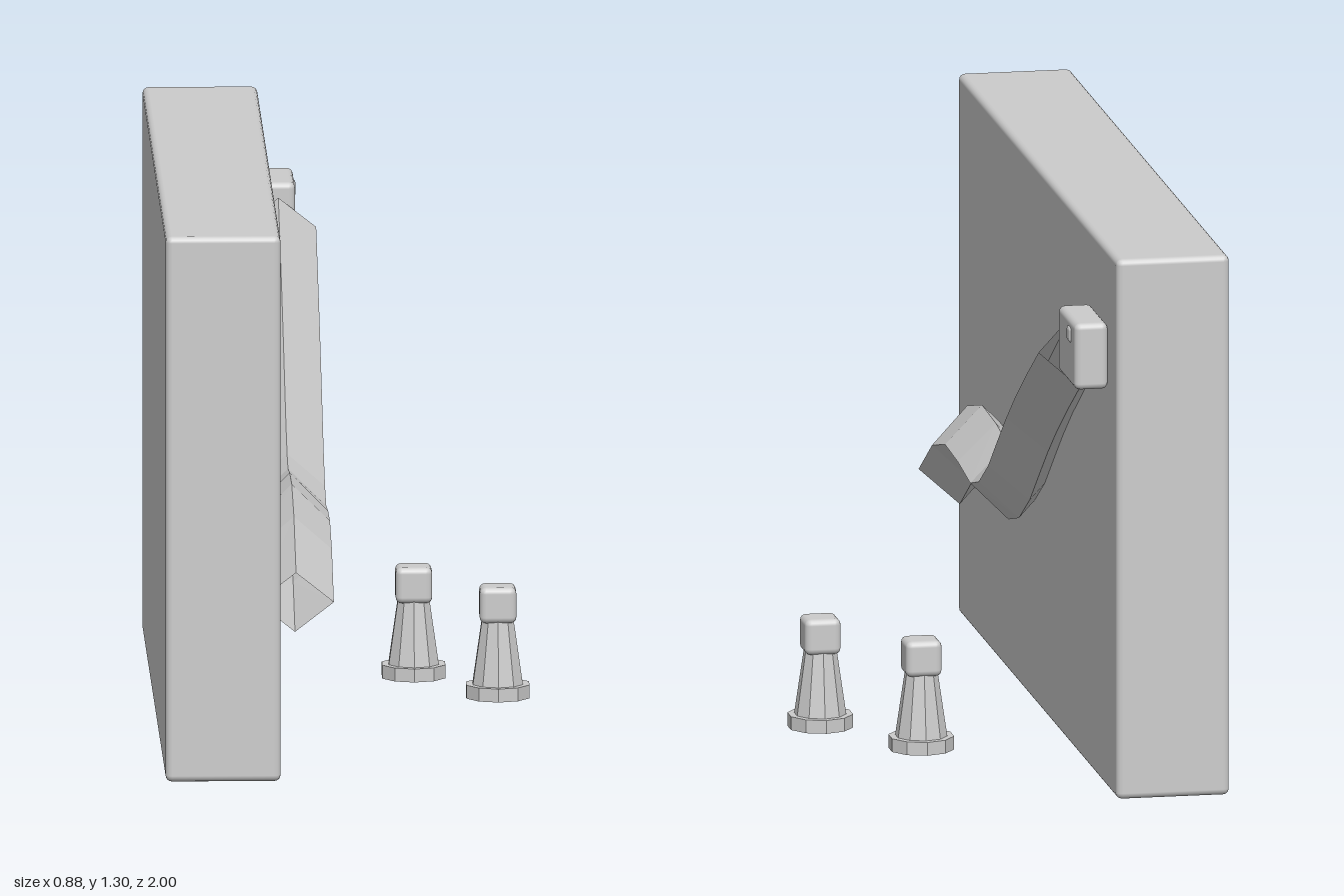
import * as THREE from 'three';
import { RoundedBoxGeometry } from 'three/addons/geometries/RoundedBoxGeometry.js';

export function createModel() {
  const model = new THREE.Group();
  const grey = new THREE.MeshStandardMaterial({ color: 0xcccccc });
  grey.name = 'light grey';
  const greyFaceted = grey.clone();
  greyFaceted.flatShading = true;
  greyFaceted.side = THREE.DoubleSide;

  function add(parent, name, geometry, x, y, z, material = grey) {
    const mesh = new THREE.Mesh(geometry, material);
    mesh.name = name;
    mesh.position.set(x, y, z);
    parent.add(mesh);
    return mesh;
  }

  // Upright slab with softened edges
  add(model, 'wall', new RoundedBoxGeometry(0.27, 1.3, 2, 2, 0.015), -0.31, 0.65, 0);

  // Open, diamond-section channel half sunk into the wall: [z, y] per ring
  const path = [
    [0.81, 0.394], [0.64, 0.49], [0.478, 0.528], [0.317, 0.523], [0.16, 0.507], [0.055, 0.534],
    [-0.065, 0.6], [-0.18, 0.685], [-0.29, 0.765], [-0.41, 0.845], [-0.55, 0.93], [-0.70, 1.016],
  ];
  const curve = new THREE.CatmullRomCurve3(path.map(([z, y]) => new THREE.Vector3(0, y, z)));
  // Put one ring exactly at each path point
  curve.getPointAt = curve.getPoint;
  curve.getTangentAt = curve.getTangent;
  add(model, 'channel', new THREE.TubeGeometry(curve, path.length - 1, 0.09, 4, false), -0.135, 0, 0, greyFaceted);

  // Small box at the upper end with a button
  const box = new THREE.Group();
  box.name = 'controlBox';
  model.add(box);
  add(box, 'boxBody', new RoundedBoxGeometry(0.08, 0.16, 0.215, 2, 0.015), -0.135, 1.045, -0.787);
  add(box, 'button', new RoundedBoxGeometry(0.03, 0.04, 0.04, 2, 0.01), -0.105, 1.087, -0.825);

  // Two free-standing pieces: foot, tapered body, cube head
  for (const [x, z] of [[0.175, -0.382], [0.365, -0.112]]) {
    const piece = new THREE.Group();
    piece.name = 'piece';
    piece.position.set(x, 0, z);
    model.add(piece);
    add(piece, 'foot', new THREE.CylinderGeometry(0.078, 0.078, 0.032, 10), 0, 0.016, 0, greyFaceted);
    add(piece, 'body', new THREE.CylinderGeometry(0.039, 0.062, 0.155, 10), 0, 0.1075, 0, greyFaceted);
    add(piece, 'head', new RoundedBoxGeometry(0.086, 0.086, 0.086, 2, 0.015), 0, 0.223, 0);
  }
  return model;
}
